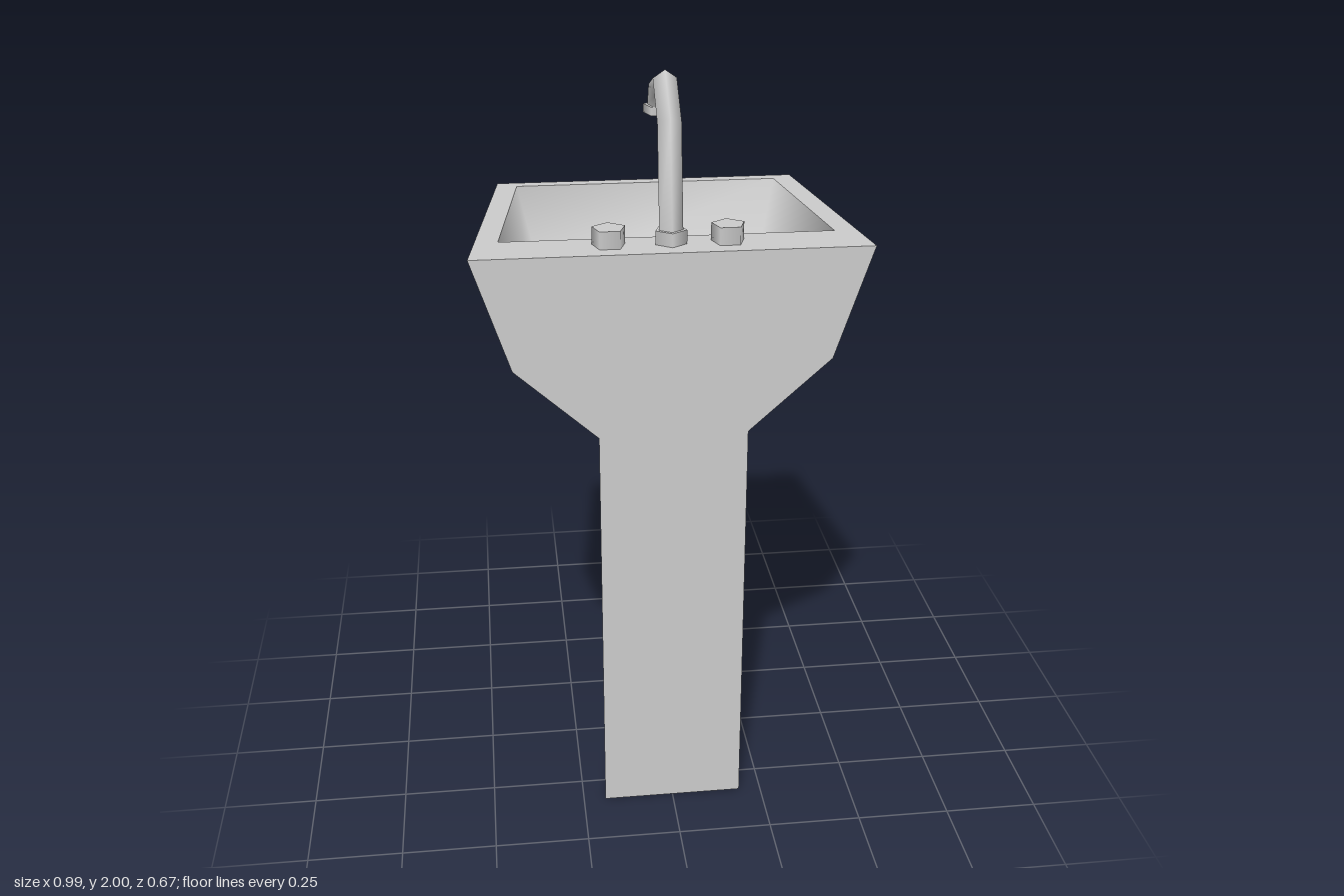
import * as THREE from 'three';

const ceramic = new THREE.MeshStandardMaterial({ color: 0xcccccc, side: THREE.DoubleSide });
ceramic.name = 'grey ceramic';

// Skin a stack of equal-length rings with smooth normals
function loft(rings, closed = true) {
  const n = rings[0].length, index = [];
  for (let r = 0; r < rings.length - 1; r++) {
    for (let i = 0; i < (closed ? n : n - 1); i++) {
      const j = (i + 1) % n, a = r * n + i, b = r * n + j;
      index.push(a, b, b + n, a, b + n, a + n);
    }
  }
  const geo = new THREE.BufferGeometry();
  geo.setAttribute('position', new THREE.Float32BufferAttribute(rings.flat(2), 3));
  geo.setIndex(index);
  geo.computeVertexNormals();
  return geo;
}

// Trapezoid ring: half width at the wall side and at the bowl side
const trapezoid = (y, wallX, wallZ, bowlX, bowlZ) =>
  [[wallX, y, wallZ], [bowlX, y, bowlZ], [-bowlX, y, bowlZ], [-wallX, y, wallZ]];

export function createModel() {
  const model = new THREE.Group();
  model.name = 'pedestalSink';
  const add = (name, geo, x = 0, y = 0, z = 0) => {
    const mesh = new THREE.Mesh(geo, ceramic);
    mesh.name = name;
    mesh.position.set(x, y, z);
    model.add(mesh);
    return mesh;
  };

  // Pedestal and outer bowl, open underneath
  const wallZ = 0.335;
  const outer = [
    trapezoid(0, 0.19, wallZ, 0.15, 0.085),
    trapezoid(1.12, 0.19, wallZ, 0.15, 0.085),
    trapezoid(1.31, 0.4, wallZ, 0.335, -0.25),
    trapezoid(1.6, 0.495, wallZ, 0.41, -0.335),
  ];
  add('pedestalAndBowl', loft(outer, false));

  // Flat panel on the wall side
  const right = outer.map((ring) => ring[0]);
  const outline = [...right.map((p) => [p[0], p[1]]), ...right.map((p) => [-p[0], p[1]]).reverse()];
  const panel = new THREE.Shape(outline.map(([x, y]) => new THREE.Vector2(x, y)));
  add('wallPanel', new THREE.ShapeGeometry(panel), 0, 0, wallZ);

  // Flat rim with the tap deck
  const lip = trapezoid(1.6, 0.42, 0.2, 0.358, -0.3);
  add('rim', loft([outer[3], lip]));

  // Inside of the basin, sloping to the drain
  add('basinInside', loft([
    lip,
    trapezoid(1.36, 0.34, 0.165, 0.3, -0.225),
    trapezoid(1.33, 0.02, 0, 0.02, -0.05),
  ]));
  add('drain', new THREE.CylinderGeometry(0.06, 0.06, 0.008, 5), 0, 1.338, -0.025).rotation.y = Math.PI;

  // Tap handles
  for (const x of [-0.152, 0.142]) {
    add('tapHandle', new THREE.CylinderGeometry(0.043, 0.043, 0.045, 5), x, 1.6225, 0.256).rotation.y = Math.PI;
  }

  // Spout collar, five-sided bent spout and nozzle
  add('spoutCollar', new THREE.CylinderGeometry(0.041, 0.041, 0.035, 5), 0, 1.6175, 0.253);
  const path = [[1.62, 0.255], [1.885, 0.213], [1.966, 0.125], [1.935, 0.04], [1.88, 0.012]]
    .map(([y, z]) => new THREE.Vector3(0, y, z));
  const spout = path.map((p, k) => {
    const before = p.clone().sub(path[Math.max(k - 1, 0)]).normalize();
    const after = path[Math.min(k + 1, path.length - 1)].clone().sub(p).normalize();
    const t = before.add(after).normalize();
    return Array.from({ length: 5 }, (_, i) => {
      const a = i / 5 * Math.PI * 2, c = 0.031 * Math.cos(a);
      return [0.031 * Math.sin(a), p.y - t.z * c, p.z + t.y * c];
    });
  });
  add('spout', loft(spout));
  add('nozzle', new THREE.CylinderGeometry(0.041, 0.041, 0.022, 5), 0, 1.875, 0.01).rotation.y = Math.PI;

  return model;
}
